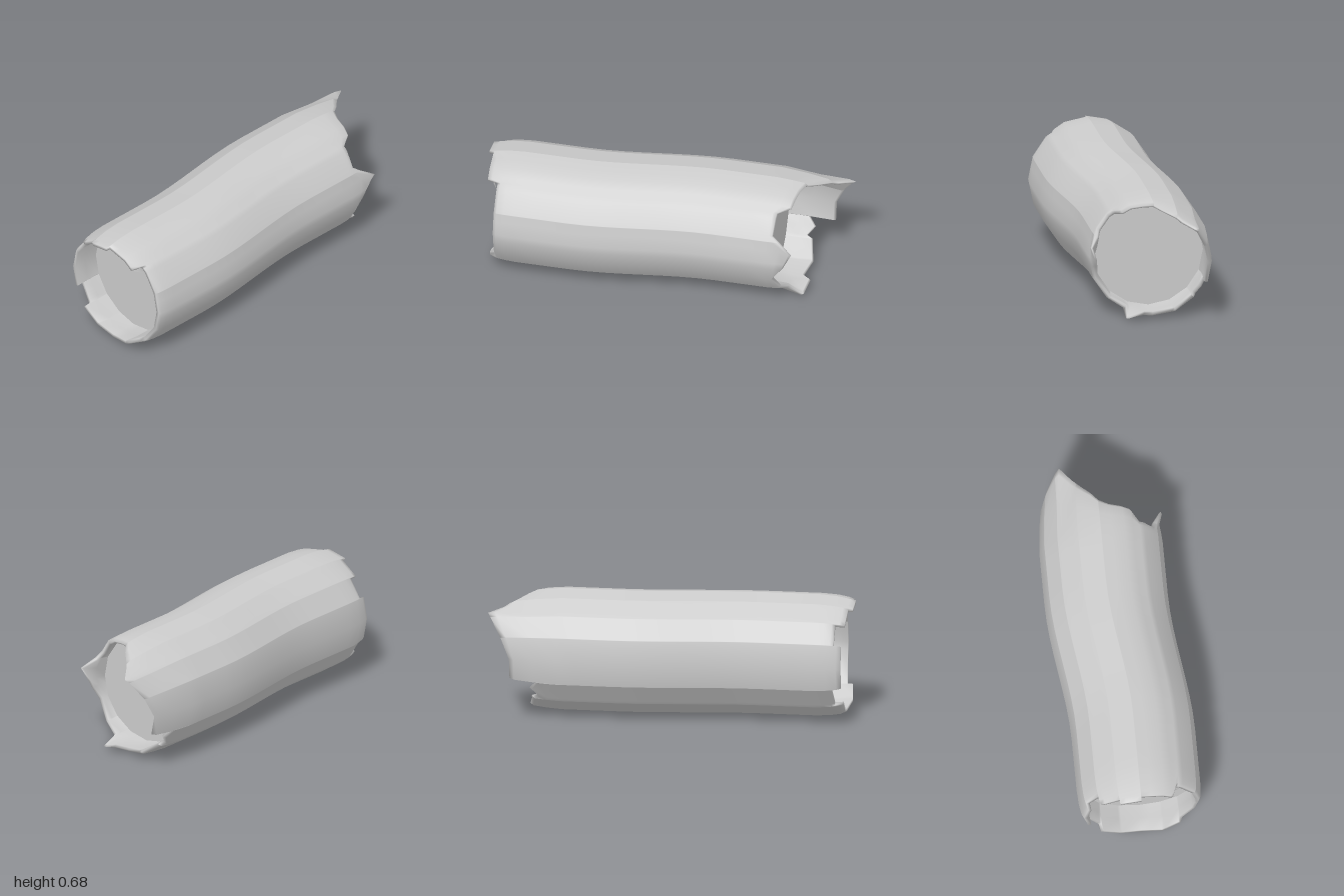
import * as THREE from 'three';

const SIDES = 16, R = 0.34, CY = 0.343, WALL = 0.024;
const FRONT_CAP = 0.8, BACK_CAP = -0.6;

// Broken ends: [angle in degrees from +x towards +y, z of the edge, outward flare]
const FRONT_EDGE = [
  [0, 0.91], [45, 0.91], [52, 0.91], [55, 0.97], [90, 0.975], [90.5, 1], [112, 1],
  [112.5, 0.975], [135, 0.97], [135.5, 0.92], [157, 0.92], [157.5, 0.96], [202, 0.96],
  [202.5, 0.91], [225, 0.92], [225.5, 0.965], [247.5, 0.96], [270, 0.95], [292.5, 0.965],
  [314, 0.95], [315, 0.92], [337.5, 0.91],
];
const BACK_EDGE = [
  [0, -0.72], [13, -0.755, 0.045], [22, -0.68], [28, -0.64], [50, -0.65], [58, -0.72],
  [80, -0.745], [90, -0.77], [97.5, -0.82], [106, -0.86], [118, -0.92], [130, -1, 0.015],
  [157.5, -0.92], [180, -0.87], [202, -0.87], [202.6, -0.72], [212, -0.76], [222, -0.72],
  [225, -0.75], [250, -0.78], [270, -0.75], [281, -0.8], [295, -0.78, 0.05], [297, -0.7],
  [315, -0.67], [337.5, -0.64], [352, -0.7],
];

// Linear lookup along a broken edge, wrapping at 360 degrees
function edgeAt(edge, deg) {
  const pts = [...edge, [360, edge[0][1], edge[0][2]]];
  const i = Math.max(1, pts.findIndex((p) => p[0] >= deg));
  const a = pts[i - 1], b = pts[i];
  const t = (deg - a[0]) / (b[0] - a[0]);
  const mix = (u = 0, v = 0) => u + (v - u) * t;
  return { z: mix(a[1], b[1]), flare: mix(a[2], b[2]) };
}

// The log bends gently sideways along its length
const bend = (z) => -0.038 + 0.077 * THREE.MathUtils.smoothstep(z, -0.3, 0.5);

// The wall curls inward towards both ends
function radiusAt(z) {
  if (z > 0.8) return R - 0.02 * Math.min(1, ((z - 0.8) / 0.16) ** 2);
  if (z < -0.6) return R - 0.036 * Math.min(1, ((-0.6 - z) / 0.29) ** 1.4);
  return R;
}

// Point on the sixteen-sided cross-section
function ringPoint(deg, r, z) {
  const step = 360 / SIDES;
  const off = THREE.MathUtils.degToRad((deg % step) - step / 2);
  const rr = (r * Math.cos(Math.PI / SIDES)) / Math.cos(off);
  const a = THREE.MathUtils.degToRad(deg);
  return [bend(z) + rr * Math.cos(a), CY + rr * Math.sin(a), z];
}

// One lengthwise strip: inside back, over the rim, along the outside, inside front
function column(deg) {
  const back = edgeAt(BACK_EDGE, deg), front = edgeAt(FRONT_EDGE, deg);
  const pts = [];
  const add = (z, inset = 0, flare = 0) => pts.push(ringPoint(deg, radiusAt(z) - inset + flare, z));
  const bz = (t) => BACK_CAP + (back.z - BACK_CAP) * t;
  const fz = (t) => FRONT_CAP + (front.z - FRONT_CAP) * t;
  add(BACK_CAP, WALL + 0.012);
  add(bz(0.5), WALL);
  add(bz(0.95), WALL, back.flare);
  add(back.z, WALL / 2, back.flare);
  add(bz(0.9), 0, back.flare * 0.8);
  add(bz(0.5));
  for (let i = 0; i <= 14; i++) add(BACK_CAP + (i / 14) * (FRONT_CAP - BACK_CAP));
  add(fz(0.5));
  add(fz(0.85));
  add(front.z, 0.006);
  add(front.z, WALL);
  add(fz(0.5), WALL + 0.006);
  add(FRONT_CAP, WALL + 0.012);
  return pts;
}

function wallGeometry() {
  const angles = new Set([...FRONT_EDGE, ...BACK_EDGE].map((p) => p[0]));
  for (let i = 0; i < SIDES; i++) angles.add((i * 360) / SIDES);
  const cols = [...angles].sort((a, b) => a - b).map(column);
  const rows = cols[0].length, index = [];
  cols.forEach((_, c) => {
    const n = (c + 1) % cols.length;
    for (let r = 0; r < rows - 1; r++) {
      const a = c * rows + r, b = n * rows + r;
      index.push(a, b, b + 1, a, b + 1, a + 1);
    }
  });
  const geo = new THREE.BufferGeometry();
  geo.setAttribute('position', new THREE.Float32BufferAttribute(cols.flat(2), 3));
  geo.setIndex(index);
  geo.computeVertexNormals();
  return geo;
}

export function createModel() {
  const group = new THREE.Group();
  group.name = 'hollowLog';
  const mat = new THREE.MeshStandardMaterial({ color: 0xcccccc, side: THREE.DoubleSide });
  const add = (name, geo) => {
    const mesh = new THREE.Mesh(geo, mat);
    mesh.name = name;
    group.add(mesh);
    return mesh;
  };

  // Bark shell with broken rims
  add('bark', wallGeometry());

  // Flat wood faces recessed in each end
  for (const [name, z, turn] of [['frontCore', FRONT_CAP, 0], ['backCore', BACK_CAP, Math.PI]]) {
    const core = add(name, new THREE.CircleGeometry(R - WALL - 0.008, SIDES));
    core.position.set(bend(z), CY, z);
    core.rotation.y = turn;
  }

  // Bark chip folded inward at the front rim
  const chip = new THREE.BufferGeometry();
  chip.setAttribute('position', new THREE.Float32BufferAttribute(
    [0.15, 0.62, 0.965, 0.2, 0.56, 0.94, 0.255, 0.56, 0.91, 0.23, 0.6, 0.93], 3));
  chip.setIndex([0, 1, 2, 0, 2, 3]);
  chip.computeVertexNormals();
  add('barkChip', chip);

  return group;
}
